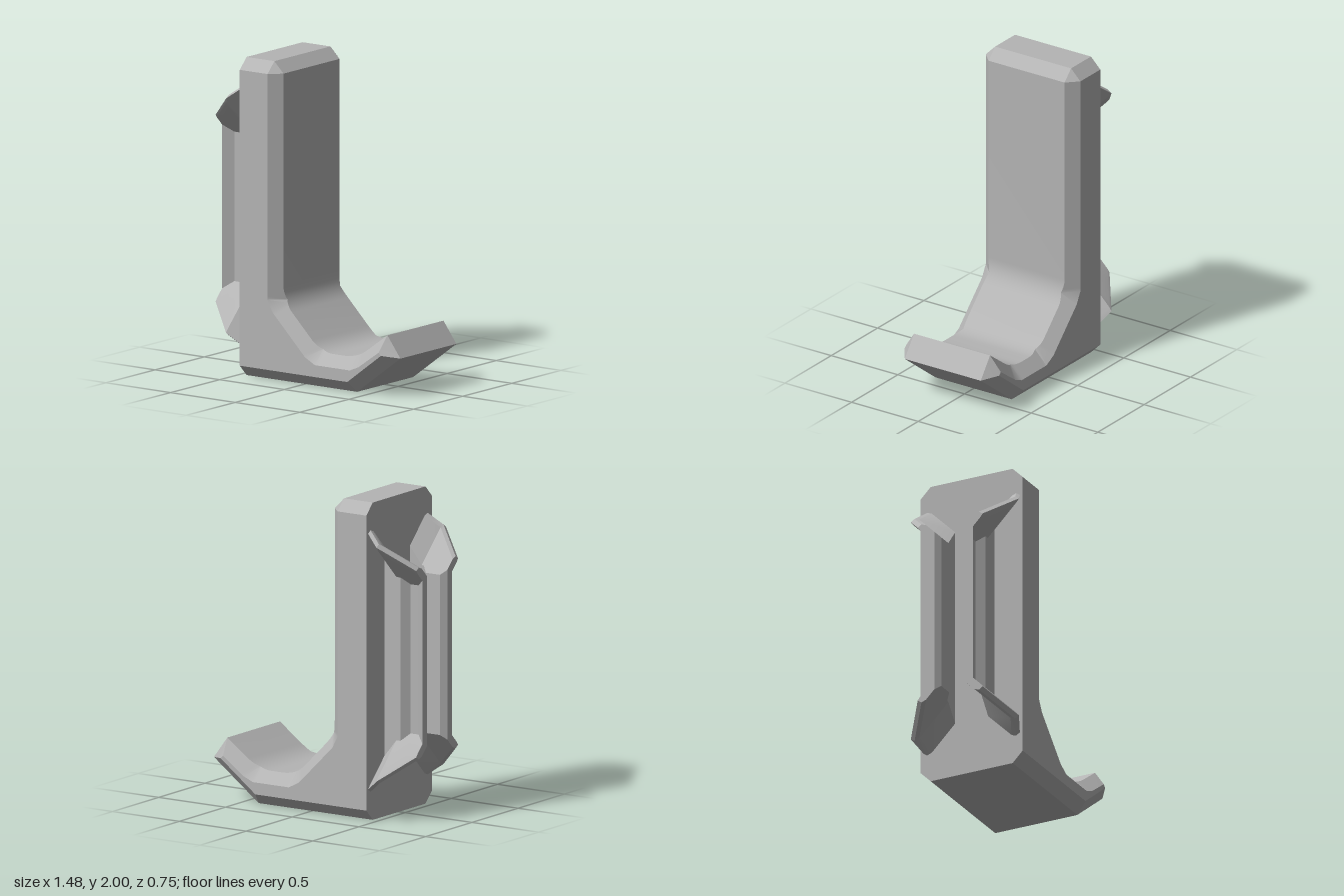
import * as THREE from 'three';
import { toCreasedNormals } from 'three/addons/utils/BufferGeometryUtils.js';

const V = (x, y, z) => new THREE.Vector3(x, y, z);

// Skin a row of equal closed rings; rings run counterclockwise seen from the far end.
function loft(rings, flat, capStart, capEnd) {
  const pos = [];
  const tri = (...p) => p.forEach((q) => pos.push(q.x, q.y, q.z));
  const n = rings[0].length;
  for (let r = 0; r < rings.length - 1; r++) {
    for (let i = 0; i < n; i++) {
      const j = (i + 1) % n;
      const a = rings[r][i], b = rings[r][j], c = rings[r + 1][j], d = rings[r + 1][i];
      tri(a, b, c);
      tri(a, c, d);
    }
  }
  const cap = (ring, flip) => {
    const pts = ring.map(flat);
    const ringSign = THREE.ShapeUtils.area(pts);
    for (const f of THREE.ShapeUtils.triangulateShape(pts, [])) {
      const same = THREE.ShapeUtils.area(f.map((k) => pts[k])) * ringSign > 0;
      const [a, b, c] = f.map((k) => ring[k]);
      if (same !== flip) tri(a, b, c);
      else tri(a, c, b);
    }
  };
  if (capStart) cap(rings[0], true);
  if (capEnd) cap(rings[rings.length - 1], false);
  const g = new THREE.BufferGeometry();
  g.setAttribute('position', new THREE.Float32BufferAttribute(pos, 3));
  return toCreasedNormals(g, 0.4);
}

// Hook: a J-shaped slab with chamfered sides and rounded inner bends.
function hookGeometry() {
  const half = 0.355, bevel = 0.07;
  // inner edge of the flat side face, from the tip to the top
  const edge = [[0.619, 0.284], [0.423, 0.145], [0.09, 0.145], [-0.24, 0.475], [-0.24, 1.93]]
    .map(([x, y]) => new THREE.Vector2(x, y));
  // each station: full outline point, side face point, half width at the outline
  const stations = [];
  const add = (px, py, sx, sy, w = half - bevel) => stations.push({ px, py, sx, sy, w });

  add(-0.455, 0, -0.455, bevel);
  add(0.4, 0, 0.377, bevel);
  add(0.735, 0.25, 0.637, 0.266);
  add(0.635, 0.384, 0.619, 0.284);

  // rounded bends; the chamfer width follows the distance to the side edge
  const path = [[0.635, 0.384], [0.4, 0.215], [0.119, 0.215], [-0.17, 0.504], [-0.17, 1.93]]
    .map(([x, y]) => new THREE.Vector2(x, y));
  for (let k = 1; k <= 3; k++) {
    const c = path[k];
    const reach = (to) => c.clone().add(to.clone().sub(c).setLength(0.095));
    const curve = new THREE.QuadraticBezierCurve(reach(path[k - 1]), c, reach(path[k + 1]));
    for (const p of curve.getPoints(8)) {
      let best = null;
      for (let e = k - 1; e <= k; e++) {
        const dir = edge[e + 1].clone().sub(edge[e]).normalize();
        const rel = p.clone().sub(edge[e]);
        const dist = rel.x * dir.y - rel.y * dir.x;
        if (!best || dist < best.dist) {
          best = { dist, foot: edge[e].clone().addScaledVector(dir, rel.dot(dir)) };
        }
      }
      add(p.x, p.y, best.foot.x, best.foot.y, half - best.dist);
    }
  }
  add(-0.17, 1.93, -0.24, 1.93);
  add(-0.24, 2, -0.24, 1.93);
  add(-0.455, 2, -0.455, 1.93);

  const side = (z) => stations.map((s) => V(s.sx, s.sy, z));
  const full = (m) => stations.map((s) => V(s.px, s.py, m * s.w));
  return loft([side(-half), full(-1), full(1), side(half)],
    (p) => new THREE.Vector2(p.x, p.y), true, true);
}

// Rail: a bent sheet whose two ends flare outward and are cut at a slant.
function railGeometry(sign) {
  // inner x, inner z, outer x, outer z, delay of the flare
  const columns = [
    [-0.455, 0.115, -0.455, 0.16, 0.11],
    [-0.545, 0.115, -0.545, 0.16, 0],
    [-0.56, 0.115, -0.575, 0.16, 0],
    [-0.6, 0.08, -0.62, 0.115, 0],
    [-0.705, 0.08, -0.68, 0.115, 0],
    [-0.74, 0.11, -0.74, 0.16, 0],
  ];
  const height = 2.01;
  const rings = columns.map(([xi, zi, xo, zo, late]) => {
    const endY = (x) => 1.61 + 0.77 * (x + 0.74);
    const inner = 1.43 + late, outer = 1.36 + late;
    const ei = endY(xi), eo = endY(xo);
    // upper half from the inner face over the rounded rim to the outer face
    const top = [
      [xi, zi + inner, zi],
      [xi, ei - 0.012, ei - 0.012 - inner],
      [(xi + xo) / 2, (ei + eo) / 2, (ei + eo) / 2 - inner + 0.02],
      [xo, eo - 0.018, eo - 0.018 - outer - 0.006],
      [xo, eo - 0.04, eo - 0.04 - outer],
      [xo, zo + outer, zo],
      [xo, zo + outer - 0.03, zo],
    ];
    const bottom = top.map(([x, y, z]) => [x, height - y, z]).reverse();
    const ring = [...top, ...bottom].map(([x, y, z]) => V(x, y, sign * z));
    return sign > 0 ? ring.reverse() : ring;
  });
  return loft(rings, (p) => new THREE.Vector2(p.z, p.y), false, true);
}

export function createModel() {
  const model = new THREE.Group();
  model.name = 'wallHook';
  const grey = new THREE.MeshStandardMaterial({ color: 0xb4b4b4 });
  grey.name = 'grey';
  const add = (name, geometry) => {
    const mesh = new THREE.Mesh(geometry, grey);
    mesh.name = name;
    model.add(mesh);
  };
  add('hookBody', hookGeometry());
  add('frontMountingRail', railGeometry(1));
  add('backMountingRail', railGeometry(-1));
  return model;
}
